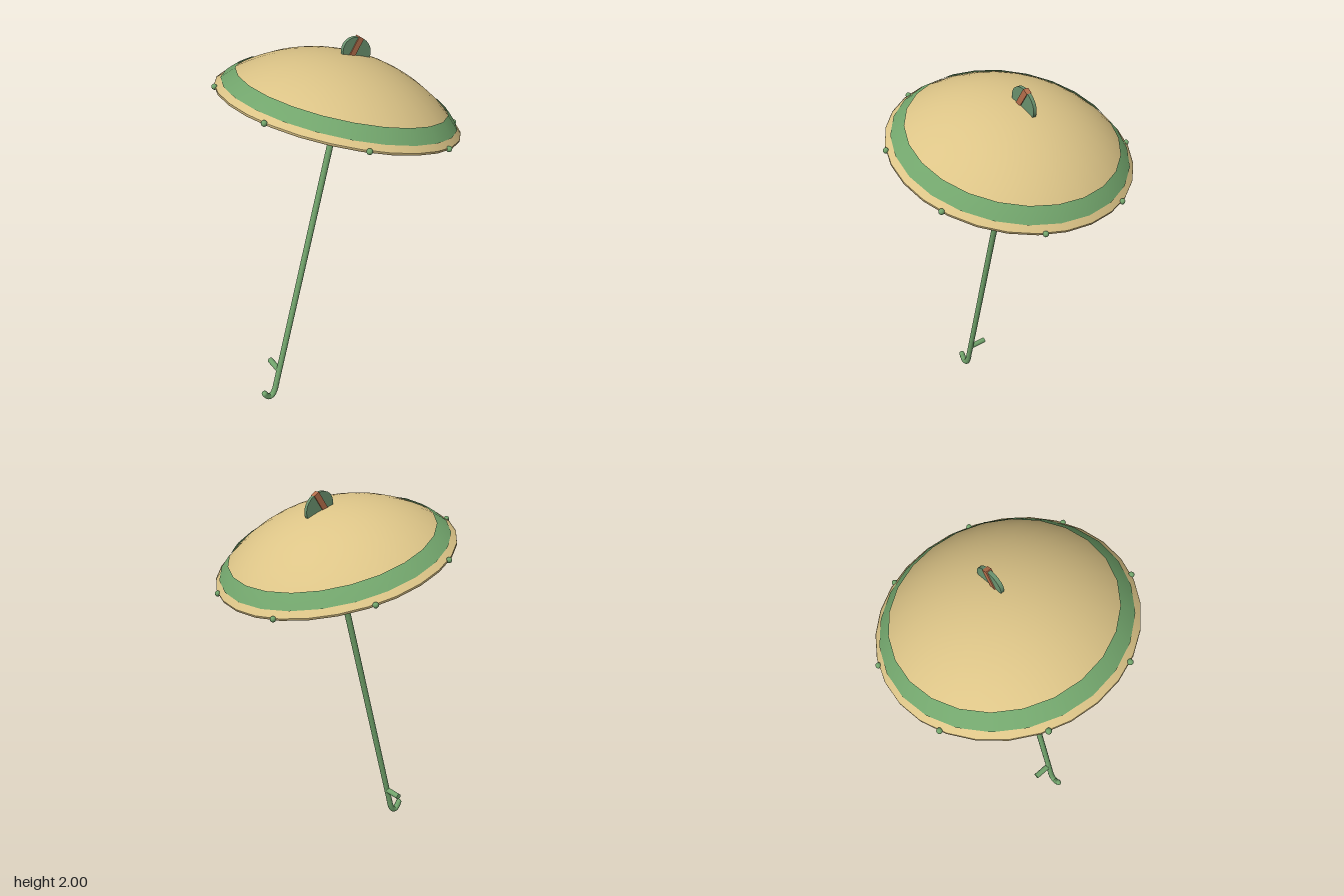
import * as THREE from 'three';

const TILT = THREE.MathUtils.degToRad(15);
const RIM_Y = 1.68;      // height of the rim centre
const RIM_R = 0.597;
const DOME_R = 0.838;    // sphere radius of the canopy
const DOME_C = -0.588;   // sphere centre below the rim plane
const domeY = (r) => Math.sqrt(DOME_R * DOME_R - r * r) + DOME_C;

const mat = (color, side = THREE.FrontSide) => new THREE.MeshStandardMaterial({ color, side });
const tan = mat(0xdcc487, THREE.DoubleSide);
const green = mat(0x72a56c);
const bandGreen = mat(0x72a56c, THREE.DoubleSide);
const darkGreen = mat(0x6b9470);
const orange = mat(0xb8704c);

function add(parent, name, geometry, material, x = 0, y = 0, z = 0) {
  const mesh = new THREE.Mesh(geometry, material);
  mesh.name = name;
  mesh.position.set(x, y, z);
  parent.add(mesh);
  return mesh;
}

export function createModel() {
  const model = new THREE.Group();
  model.name = 'parasol';

  // Everything on the leaning axis, origin at the rim centre
  const leaning = new THREE.Group();
  leaning.name = 'leaningParasol';
  leaning.position.y = RIM_Y;
  leaning.rotation.z = -TILT;
  model.add(leaning);

  // Canopy: a shallow dome with a thin rim edge
  const dome = [];
  for (let i = 0; i <= 14; i++) {
    const r = RIM_R * (1 - i / 14);
    dome.push(new THREE.Vector2(r, domeY(r)));
  }
  add(leaning, 'canopy', new THREE.LatheGeometry(dome, 28, Math.PI / 2), tan);
  const edge = [[0.588, -0.006], [RIM_R, -0.006], [RIM_R, 0.004]].map((p) => new THREE.Vector2(...p));
  add(leaning, 'canopyRim', new THREE.LatheGeometry(edge, 28, Math.PI / 2), tan);

  // Green band: lifted at its top, dipping into the canopy at its lower edge
  const band = [];
  for (let i = 0; i <= 4; i++) {
    const r = 0.572 - 0.06 * i / 4;
    band.push(new THREE.Vector2(r, domeY(r) + 0.004 + 0.0015 * i));
  }
  add(leaning, 'canopyBand', new THREE.LatheGeometry(band, 24, Math.PI / 2), bandGreen);

  // Eight beads around the rim
  for (let i = 0; i < 8; i++) {
    const a = (i + 0.5) * Math.PI / 4;
    add(leaning, 'rimBead', new THREE.SphereGeometry(0.014, 12, 8), green,
      RIM_R * Math.cos(a), 0, RIM_R * Math.sin(a));
  }

  // Pole from the canopy's crown to the hook
  const top = 0.245, bottom = -1.637;
  add(leaning, 'pole', new THREE.CylinderGeometry(0.016, 0.016, top - bottom, 12), green,
    0, (top + bottom) / 2);

  // Hooked handle with a rounded tip
  const path = [[-0.423, 0.1], [-0.436, 0.055], [-0.452, 0.026], [-0.472, 0.018], [-0.49, 0.034], [-0.502, 0.055]]
    .map(([x, y]) => new THREE.Vector3(x, y, 0));
  add(model, 'hookHandle', new THREE.TubeGeometry(new THREE.CatmullRomCurve3(path), 24, 0.0165, 12), green);
  add(model, 'hookTip', new THREE.SphereGeometry(0.0165, 12, 8), green, -0.502, 0.055, 0);

  // Small peg sticking out behind the pole
  const peg = add(model, 'peg', new THREE.CylinderGeometry(0.016, 0.016, 0.1, 12), green, -0.402, 0.18, -0.05);
  peg.rotation.x = Math.PI / 2;

  // Flat oval finial with a strap across it
  const finial = new THREE.Group();
  finial.name = 'finial';
  finial.position.set(0.095, 1.93, 0);
  finial.rotation.z = -0.6;
  model.add(finial);
  const oval = new THREE.CylinderGeometry(1, 1, 1, 28).rotateX(Math.PI / 2).scale(0.084, 0.066, 0.018);
  add(finial, 'finialDisc', oval, darkGreen);
  add(finial, 'finialStrap', new THREE.BoxGeometry(0.03, 0.132, 0.028), orange, -0.018, 0, 0);

  return model;
}
